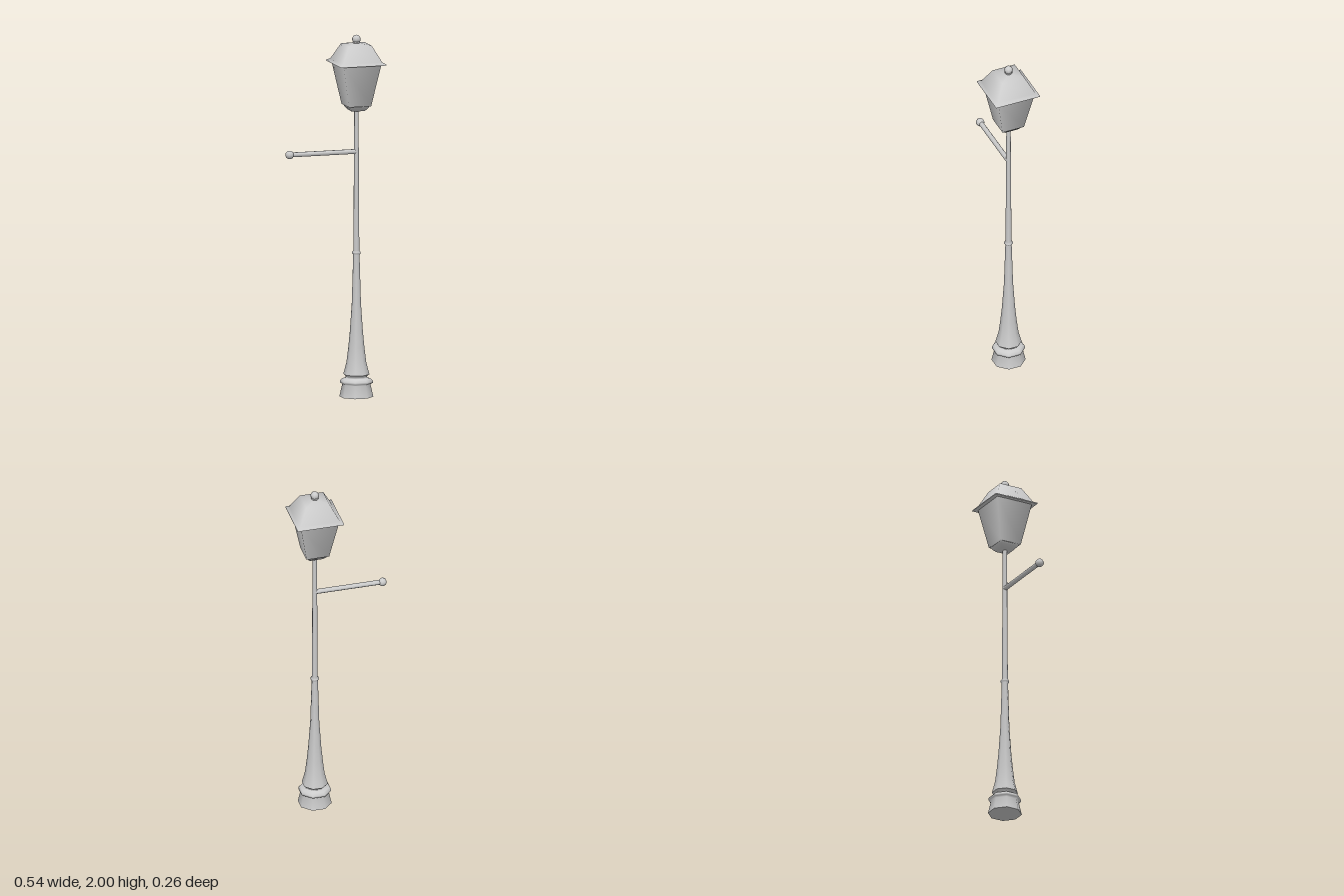
import * as THREE from 'three';

const material = new THREE.MeshStandardMaterial({ color: 0xcccccc, side: THREE.DoubleSide });
const AXIS_X = 0.135; // the post stands off-centre so the arm balances it

// Revolves [half-width, height] pairs into a regular prism whose flat sides face the axes.
function prism(name, sides, profile) {
  const k = 1 / Math.cos(Math.PI / sides);
  const points = profile.map(([r, y]) => new THREE.Vector2(r * k, y));
  const mesh = new THREE.Mesh(new THREE.LatheGeometry(points, sides, Math.PI / sides), material);
  mesh.name = name;
  mesh.position.x = AXIS_X;
  return mesh;
}

function ball(name, x, y, radius) {
  const geometry = new THREE.SphereGeometry(radius, 8, 8);
  geometry.rotateY(Math.PI / 8);
  const mesh = new THREE.Mesh(geometry, material);
  mesh.name = name;
  mesh.position.set(x, y, 0);
  return mesh;
}

export function createModel() {
  const model = new THREE.Group();
  model.name = 'streetLamp';

  // Stepped foot with a closed underside
  model.add(prism('footUnderside', 8, [[0, 0], [0.086, 0]]));
  model.add(prism('foot', 8, [
    [0.086, 0], [0.071, 0.07], [0.083, 0.077], [0.083, 0.088],
    [0.073, 0.1], [0.054, 0.104], [0.054, 0.114], [0.066, 0.124],
  ]));

  // Flared post with a small collar halfway up
  model.add(prism('post', 8, [
    [0.066, 0.124], [0.05, 0.19], [0.041, 0.27], [0.033, 0.36], [0.023, 0.52],
    [0.016, 0.785], [0.022, 0.792], [0.022, 0.8], [0.015, 0.808], [0.011, 1.59],
  ]));

  // Ladder arm
  const armGeometry = new THREE.CylinderGeometry(0.0135, 0.0135, 0.385, 8, 1, false, Math.PI / 8);
  armGeometry.rotateZ(Math.PI / 2);
  const arm = new THREE.Mesh(armGeometry, material);
  arm.name = 'arm';
  arm.position.set(-0.0575, 1.355, 0);
  model.add(arm, ball('armKnob', -0.248, 1.355, 0.0235));

  // Square lantern: seat, tapered body and roof
  model.add(prism('lanternSeat', 4, [[0, 1.582], [0.036, 1.582], [0.052, 1.6], [0.057, 1.611]]));
  model.add(prism('lanternBody', 4, [[0.055, 1.611], [0.064, 1.611], [0.108, 1.845]]));
  model.add(prism('eaveUnderside', 4, [[0, 1.843], [0.131, 1.843]]));
  model.add(prism('roof', 4, [
    [0.131, 1.843], [0.13, 1.849], [0.112, 1.859], [0.066, 1.947], [0, 1.957],
  ]));

  // Finial
  model.add(prism('finialNeck', 8, [
    [0.013, 1.945], [0.019, 1.957], [0.019, 1.962], [0.011, 1.967], [0.011, 1.98],
  ]));
  model.add(ball('finialKnob', AXIS_X, 1.9765, 0.0235));

  return model;
}
